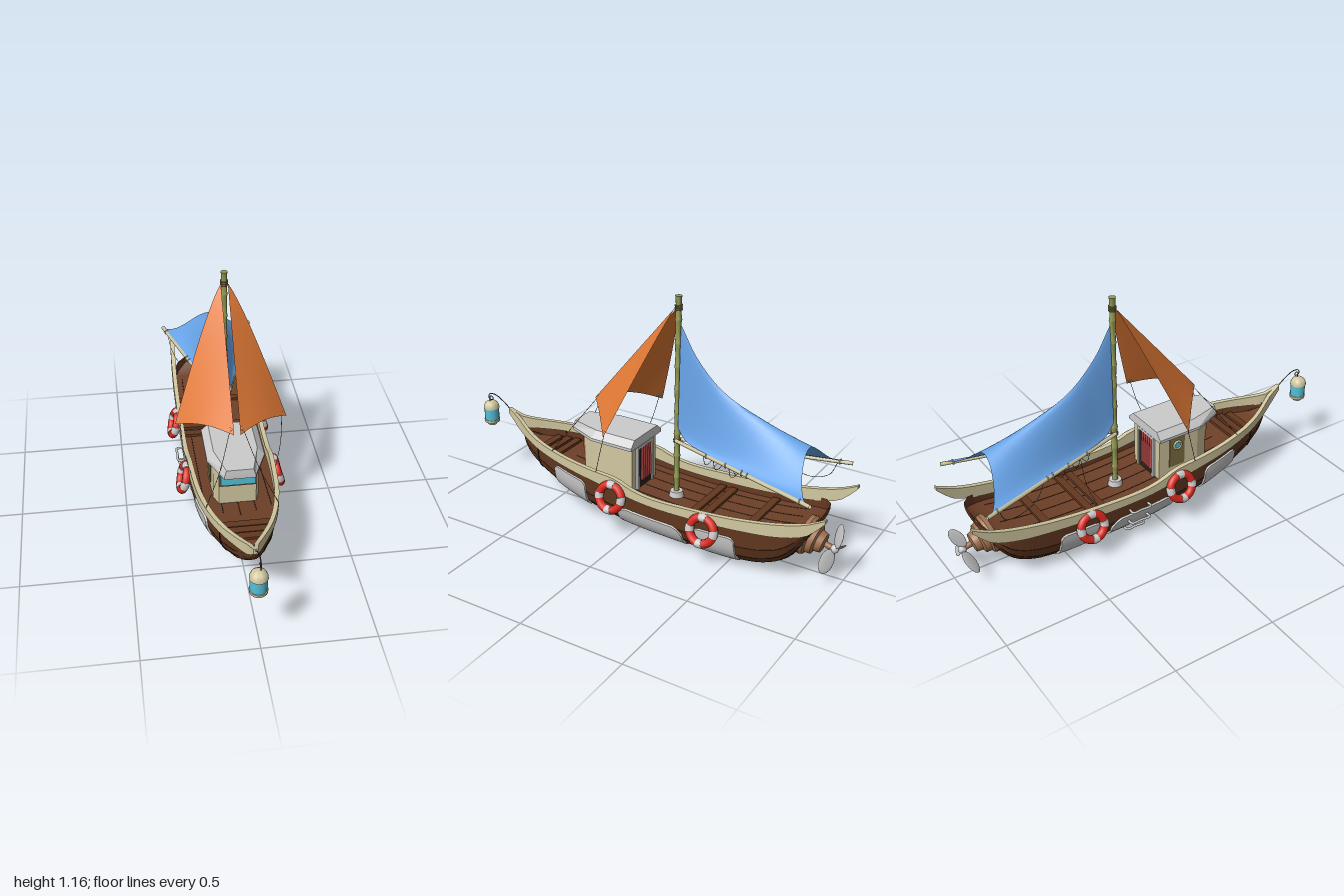
import * as THREE from 'three';
import { toCreasedNormals } from 'three/addons/utils/BufferGeometryUtils.js';

const V = (x, y, z) => new THREE.Vector3(x, y, z);
const mat = (color) => new THREE.MeshStandardMaterial({ color, side: THREE.DoubleSide });
const M = {
  grey: mat(0xcccccc), wood: mat(0x633820), seam: mat(0x2e180d), deck: mat(0x6e4028), cream: mat(0xd2c8a0),
  bamboo: mat(0x959c55), orange: mat(0xe27a36), blue: mat(0x68a4e8), red: mat(0xd82a20), cyan: mat(0x55c0d8),
  copper: mat(0xa0704e), rope: mat(0x4a4a4a), dark: mat(0x2b211b), curtain: mat(0xb84a48), olive: mat(0x7d7040),
};
const range = (a, b, n) => Array.from({ length: n + 1 }, (_, i) => a + ((b - a) * i) / n);

// Smooth lookup through rows of [z, ...values]
function track(rows) {
  const n = rows[0].length - 1;
  const it = new THREE.CubicInterpolant(new Float32Array(rows.map((r) => r[0])),
    new Float32Array(rows.flatMap((r) => r.slice(1))), n);
  return (z) => Array.from(it.evaluate(z));
}

// Skin over a list of equal-length cross-sections
function loft(rings, { closed = false, caps = false, crease = 0.6 } = {}) {
  const n = rings[0].length, pts = rings.flat(), idx = [];
  for (let i = 0; i < rings.length - 1; i++)
    for (let j = 0; j < (closed ? n : n - 1); j++) {
      const a = i * n + j, b = i * n + ((j + 1) % n);
      idx.push(a, b, a + n, b, b + n, a + n);
    }
  if (caps) for (const [start, flip] of [[0, true], [(rings.length - 1) * n, false]])
    for (let j = 1; j < n - 1; j++)
      flip ? idx.push(start, start + j + 1, start + j) : idx.push(start, start + j, start + j + 1);
  const g = new THREE.BufferGeometry().setFromPoints(pts);
  g.setIndex(idx);
  return toCreasedNormals(g, crease);
}

// Hull stations: z, half width, sheer height, keel height
const station = track([
  [-0.87, 0.12, 0.285, 0.235], [-0.83, 0.165, 0.275, 0.155], [-0.78, 0.185, 0.262, 0.088], [-0.68, 0.196, 0.245, 0.03],
  [-0.55, 0.2, 0.232, 0.007], [-0.4, 0.2, 0.225, 0.003], [-0.2, 0.2, 0.222, 0.008], [0, 0.2, 0.232, 0.02],
  [0.2, 0.19, 0.252, 0.045], [0.35, 0.175, 0.27, 0.08], [0.5, 0.14, 0.287, 0.125], [0.6, 0.103, 0.297, 0.16],
  [0.7, 0.05, 0.305, 0.215], [0.74, 0.015, 0.31, 0.265],
]);
// Point on the hull; a runs -1..1 from one sheer, under the keel, to the other
function hull(z, a, off = 0) {
  const [w, top, bot] = station(z), t = (a * Math.PI) / 2;
  const s = Math.sin(t), c = Math.max(0, Math.cos(t));
  return V(w * Math.sign(s) * Math.abs(s) ** 0.65 + s * off, top - (top - bot) * c ** 0.65 - c * off, z);
}
// Edge of the deck, a little below the sheer
function deckEdge(z) {
  const [, top, bot] = station(z), depth = Math.min(0.05, 0.5 * (top - bot));
  return hull(z, (2 / Math.PI) * Math.acos((depth / (top - bot)) ** (1 / 0.65)), -0.004);
}

export function createModel() {
  const root = new THREE.Group();
  root.name = 'sailboat';
  const add = (name, geo, m, parent = root, pos) => {
    const mesh = new THREE.Mesh(geo, m);
    mesh.name = name;
    if (pos) mesh.position.set(...pos);
    parent.add(mesh);
    return mesh;
  };
  const group = (name, parent = root) => {
    const g = new THREE.Group();
    g.name = name;
    parent.add(g);
    return g;
  };
  const tube = (name, pts, r, m, parent = root, n = 20) =>
    add(name, new THREE.TubeGeometry(new THREE.CatmullRomCurve3(pts), n, r, 6), m, parent);
  const box = (name, w, h, d, pos, m, parent = root) => add(name, new THREE.BoxGeometry(w, h, d), m, parent, pos);

  // Planked hull with rounded ends
  const planks = range(-1, 1, 10), zs = range(-0.87, 0.74, 44);
  const skin = zs.map((z) => planks.map((a) => hull(z, a)));
  skin.unshift(planks.map(() => V(0, 0.268, -0.878)));
  skin.push(planks.map(() => V(0, 0.29, 0.745)));
  add('hull', loft(skin, { crease: 0.22 }), M.wood);
  const seams = group('hullSeams');
  for (const a of planks.slice(1, -1)) tube('seam', range(-0.865, 0.72, 30).map((z) => hull(z, a)), 0.0012, M.seam, seams, 50);
  tube('ribBand', range(-1, 1, 20).map((a) => hull(0.57, a, 0.001)), 0.003, M.seam, seams, 40);

  // Metal patches following the hull
  const patch = (z0, z1, a0, a1) => {
    const u = [0, 0.01, 0.06, 0.14, ...range(0.2, 0.8, 6), 0.86, 0.94, 0.99, 1];
    return loft(u.map((t) => {
      const e = Math.min(t, 1 - t), trim = e < 0.14 ? 0.12 * (1 - Math.sqrt(1 - (1 - e / 0.14) ** 2)) : 0;
      return [0, 0.005, ...range(0.05, 0.95, 16), 0.995, 1].map((s) => {
        const rim = e === 0 || s === 0 || s === 1;
        const k = 0.5 + (s - 0.5) * (1 - 2 * trim);
        return hull(z0 + (z1 - z0) * t, a0 + (a1 - a0) * k, rim ? -0.004 : 0.007);
      });
    }));
  };
  add('keelPatch', patch(-0.29, 0.06, -0.84, 0.84), M.grey);
  for (const s of [-1, 1]) {
    add('bowPatch', patch(0.24, 0.44, 0.36 * s, 0.95 * s), M.grey);
    add('sternPatch', patch(-0.56, -0.35, 0.25 * s, 0.91 * s), M.grey);
  }

  // Sunken deck with plank seams and cross boards
  add('deck', loft(range(-0.865, 0.73, 40).map((z) => {
    const e = deckEdge(z);
    return [V(-e.x, e.y, z), e];
  })), M.deck);
  for (const x of range(-0.15, 0.15, 4))
    tube('deckSeam', range(-0.76, 0.42 - Math.abs(x) * 0.4, 16).map((z) => V(x, deckEdge(z).y, z)), 0.0015, M.seam, root, 24);
  for (const z of [-0.58, -0.36, -0.3, 0.5, 0.545, 0.59]) {
    const e = deckEdge(z);
    box('crossBoard', 2 * e.x - 0.02, 0.014, 0.036, [0, e.y + 0.007, z], M.wood);
  }

  // Gunwales: z, outer x, bottom, top
  const rail = track([
    [-0.97, 0.19, 0.362, 0.378], [-0.9, 0.196, 0.29, 0.342], [-0.8, 0.201, 0.25, 0.31], [-0.6, 0.207, 0.22, 0.273],
    [-0.3, 0.209, 0.203, 0.247], [-0.1, 0.208, 0.205, 0.246], [-0.02, 0.206, 0.213, 0.26], [0.06, 0.204, 0.225, 0.287],
    [0.2, 0.197, 0.242, 0.295], [0.35, 0.183, 0.26, 0.307], [0.5, 0.15, 0.277, 0.32], [0.6, 0.113, 0.287, 0.33],
    [0.7, 0.06, 0.295, 0.345], [0.76, 0.026, 0.305, 0.36], [0.83, 0.01, 0.365, 0.392],
  ]);
  for (const s of [-1, 1])
    add('gunwale', loft(range(-0.97, 0.83, 50).map((z) => {
      const [x, b, t] = rail(z), xi = Math.max(0, x - 0.022);
      return [V(s * x, b, z), V(s * x, t, z), V(s * xi, t, z), V(s * xi, b, z)];
    }), { closed: true, caps: true }), M.cream);

  // Cabin
  const cabin = group('cabin');
  const plan = (pts, y) => [...pts.map(([x, z]) => V(x, y, z)), ...[...pts].reverse().map(([x, z]) => V(-x, y, z))];
  const wall = [[0.105, 0.03], [0.105, 0.25], [0.085, 0.31]];
  const eave = [[0.132, 0.016], [0.132, 0.24], [0.07, 0.386]], crown = [[0.1, 0.018], [0.1, 0.23], [0.06, 0.382]];
  const solid = (...rings) => loft(rings, { closed: true, caps: true, crease: 0.2 });
  add('cabinWalls', solid(plan(wall, 0.17), plan(wall, 0.415)), M.cream, cabin);
  add('cabinRoof', solid(plan(eave, 0.41), plan(eave, 0.424), plan(crown, 0.455)), M.grey, cabin);
  box('windowFrame', 0.172, 0.088, 0.014, [0, 0.36, 0.309], M.copper, cabin);
  box('windscreen', 0.156, 0.07, 0.026, [0, 0.36, 0.309], M.cyan, cabin);
  box('doorway', 0.115, 0.21, 0.006, [0, 0.287, 0.029], M.dark, cabin);
  for (const s of [-1, 1]) box('doorPost', 0.014, 0.22, 0.016, [s * 0.062, 0.29, 0.027], M.grey, cabin);
  box('doorLintel', 0.138, 0.014, 0.016, [0, 0.398, 0.027], M.grey, cabin);
  for (let i = 0; i < 5; i++) {
    const fold = add('curtainFold', new THREE.CylinderGeometry(0.007, 0.011, 0.17, 8), M.curtain, cabin, [-0.042 + i * 0.017, 0.305, 0.023]);
    fold.scale.z = 0.6;
  }
  box('sidePanel', 0.006, 0.16, 0.085, [-0.106, 0.315, 0.13], M.olive, cabin);
  const port = add('portholeGlass', new THREE.CylinderGeometry(0.02, 0.02, 0.012, 20), M.cyan, cabin, [-0.107, 0.35, 0.13]);
  port.rotation.z = Math.PI / 2;
  const portRim = add('portholeRim', new THREE.TorusGeometry(0.021, 0.005, 8, 20), M.cream, cabin, [-0.112, 0.35, 0.13]);
  portRim.rotation.y = Math.PI / 2;

  // Bamboo mast
  const mast = group('mast');
  mast.position.z = -0.15;
  const profile = [new THREE.Vector2(0, 0.164)];
  for (let i = 0; i < 9; i++) {
    const y = 0.164 + i * 0.11;
    profile.push(...[[0.0165, 0], [0.014, 0.01], [0.0125, 0.05], [0.014, 0.1], [0.0165, 0.11]].map(([r, h]) => new THREE.Vector2(r, y + h)));
  }
  profile.push(new THREE.Vector2(0, 1.154));
  add('mastPole', toCreasedNormals(new THREE.LatheGeometry(profile, 14), 0.6), M.bamboo, mast);
  add('mastFoot', new THREE.CylinderGeometry(0.03, 0.036, 0.03, 16), M.grey, mast, [0, 0.186, 0]);
  for (const y of [1.09, 1.1, 1.11, 0.455, 0.465]) {
    const wrap = add('lashing', new THREE.TorusGeometry(0.016, 0.003, 6, 16), M.olive, mast, [0, y, 0]);
    wrap.rotation.x = Math.PI / 2 + 0.12;
  }

  // Tent-shaped mainsail: ridge line over two spread edges
  const ridge = new THREE.CatmullRomCurve3([V(0, 1.02, -0.165), V(0, 0.88, -0.25), V(0, 0.755, -0.38), V(0, 0.665, -0.58), V(0, 0.59, -0.8)]);
  const hem = new THREE.CatmullRomCurve3([V(0.03, 0.54, -0.17), V(0.042, 0.49, -0.22), V(0.115, 0.466, -0.5), V(0.22, 0.458, -0.885)]);
  add('mainsail', loft(range(0, 1, 24).map((u) => {
    const r = ridge.getPoint(u), e = hem.getPoint(u);
    return range(-1, 1, 24).map((v) => {
      const k = Math.abs(v), lift = (1 + Math.cos(Math.PI * k)) / 2 * 0.85 + (1 - k) * 0.15;
      return V(e.x * v, e.y + (r.y - e.y) * lift, r.z + (e.z - r.z) * k * k);
    });
  }), { crease: 1.2 }), M.blue);

  for (const s of [-1, 1]) {
    // Boom with lashings and hanging ropes
    const boomAt = (t) => V(s * (0.012 + 0.218 * t), 0.462 - 0.014 * t, -0.15 - 0.765 * t);
    const rig = group('boomRig');
    tube('boom', [boomAt(0), boomAt(0.5), boomAt(1)], 0.01, M.cream, rig);
    for (const t of [0.25, 0.4, 0.52, 0.56, 0.93])
      add('boomLashing', new THREE.TorusGeometry(0.011, 0.003, 6, 14), M.cream, rig, boomAt(t).toArray());
    for (const t of [0.22, 0.3, 0.42]) {
      const p = boomAt(t);
      tube('ropeLoop', [p, V(p.x, p.y - 0.05, p.z - 0.015), V(p.x, p.y - 0.03, p.z - 0.04), boomAt(t + 0.07)], 0.0013, M.rope, rig);
    }
    if (s < 0) {
      tube('sheet', [boomAt(0.3), V(-0.12, 0.33, -0.375), V(-0.195, 0.245, -0.36)], 0.0013, M.rope, rig);
      tube('slackRope', [boomAt(0.58), V(-0.165, 0.39, -0.65), V(-0.18, 0.358, -0.74), V(-0.2, 0.38, -0.82), boomAt(0.92)], 0.0013, M.rope, rig, 30);
    }

    // Headsail, bellied towards its outer edge
    const A = V(s * 0.016, 1.1, -0.14), B = V(s * 0.257, 0.518, 0.085), C = V(s * 0.014, 0.578, 0.292);
    const jib = group('headsail');
    add('headsailCloth', loft(range(0, 1, 18).map((t) => range(0, 1, 14).map((q) => {
      const p = A.clone().lerp(B.clone().lerp(C, q), t);
      return p.add(V(s * Math.sin(Math.PI * t ** 0.65) * 0.015 * (1 - q), 0.025 * Math.sin(Math.PI * q) * t ** 3, 0));
    })), { crease: 1 }), M.orange, jib);
    for (const [corner, q] of [[B, 0.06], [C, 0.94]]) {
      const p = A.clone().lerp(B.clone().lerp(C, q), 0.965);
      const ring = add('eyelet', new THREE.TorusGeometry(0.009, 0.003, 6, 14), M.grey, jib, p.toArray());
      ring.lookAt(p.clone().add(B.clone().sub(A).cross(C.clone().sub(A))));
      tube('stay', corner === B ? [p, V(s * 0.225, 0.4, 0.13), V(s * 0.198, 0.295, 0.17)]
        : [p, V(s * 0.09, 0.44, 0.37), V(s * 0.16, 0.315, 0.45)], 0.0013, M.rope, jib);
    }

    // Lifebuoys with alternating quarters
    for (const [y, z] of [[0.2, 0.075], [0.175, -0.41]]) {
      const buoy = group('lifebuoy');
      buoy.position.set(s * 0.224, y, z);
      buoy.rotation.y = Math.PI / 2;
      const tilt = group('lifebuoyRing', buoy);
      tilt.rotation.x = s * -0.27;
      for (let i = 0; i < 8; i++) {
        const white = i % 2, arc = white ? 0.5 : Math.PI / 2 - 0.5;
        const piece = add('buoyArc', new THREE.TorusGeometry(0.06, white ? 0.0215 : 0.02, 10, 8, arc), white ? M.grey : M.red, tilt);
        piece.rotation.z = Math.floor(i / 2) * Math.PI / 2 + (white ? Math.PI / 2 - 0.25 : 0.25);
      }
    }
  }

  // Boarding steps on one side
  for (const a of [-0.92, -0.72, -0.42]) {
    const p = hull(-0.15, a, 0.005), x = p.x - 0.028;
    tube('boardingStep', [V(p.x, p.y, -0.2), V(x, p.y, -0.198), V(x, p.y, -0.15), V(x, p.y, -0.102), V(p.x, p.y, -0.1)], 0.006, M.grey);
  }

  // Propeller and stepped hub
  const drive = group('propellerDrive');
  drive.position.set(0, 0.172, -0.822);
  drive.rotation.x = -Math.PI / 2 - 0.25;
  const hub = [[0, -0.02], [0.09, -0.02], [0.094, 0.0], [0.088, 0.014], [0.075, 0.02], [0.07, 0.045], [0.052, 0.052], [0.045, 0.08], [0.014, 0.085], [0.012, 0.14], [0, 0.15]];
  add('hub', toCreasedNormals(new THREE.LatheGeometry(hub.map((p) => new THREE.Vector2(...p)), 20), 0.5), M.copper, drive);
  add('boss', new THREE.SphereGeometry(0.02, 14, 10), M.grey, drive, [0, 0.13, 0]);
  for (let i = 0; i < 3; i++) {
    const arm = group('bladeArm', drive);
    arm.rotation.y = -Math.PI / 2 + (i * 2 * Math.PI) / 3;
    const blade = add('blade', new THREE.SphereGeometry(1, 16, 10), M.grey, arm, [0.07, 0.13, 0]);
    blade.scale.set(0.06, 0.005, 0.042);
    blade.rotation.x = 0.7;
  }

  // Bow lantern on a curled hook
  tube('lanternHook', [V(0, 0.375, 0.82), V(0, 0.415, 0.87), V(0, 0.442, 0.925), V(0, 0.435, 0.962), V(0, 0.412, 0.965),
    V(0, 0.41, 0.943), V(0, 0.425, 0.942), V(0, 0.425, 0.957), V(0, 0.395, 0.96)], 0.0025, M.rope, root, 50);
  const lantern = group('lantern');
  lantern.position.set(-0.008, 0, 0.96);
  const turn = (name, pts, m) => add(name, toCreasedNormals(new THREE.LatheGeometry(pts.map((p) => new THREE.Vector2(...p)), 20), 0.6), m, lantern);
  turn('lanternBase', [[0, 0.268], [0.022, 0.268], [0.026, 0.278], [0.038, 0.284], [0.04, 0.298], [0, 0.298]], M.cream);
  turn('lanternGlass', [[0.036, 0.298], [0.037, 0.33], [0.036, 0.36]], M.cyan);
  turn('lanternCap', [[0, 0.358], [0.04, 0.358], [0.039, 0.37], [0.032, 0.386], [0.018, 0.396], [0, 0.4]], M.cream);
  return root;
}
